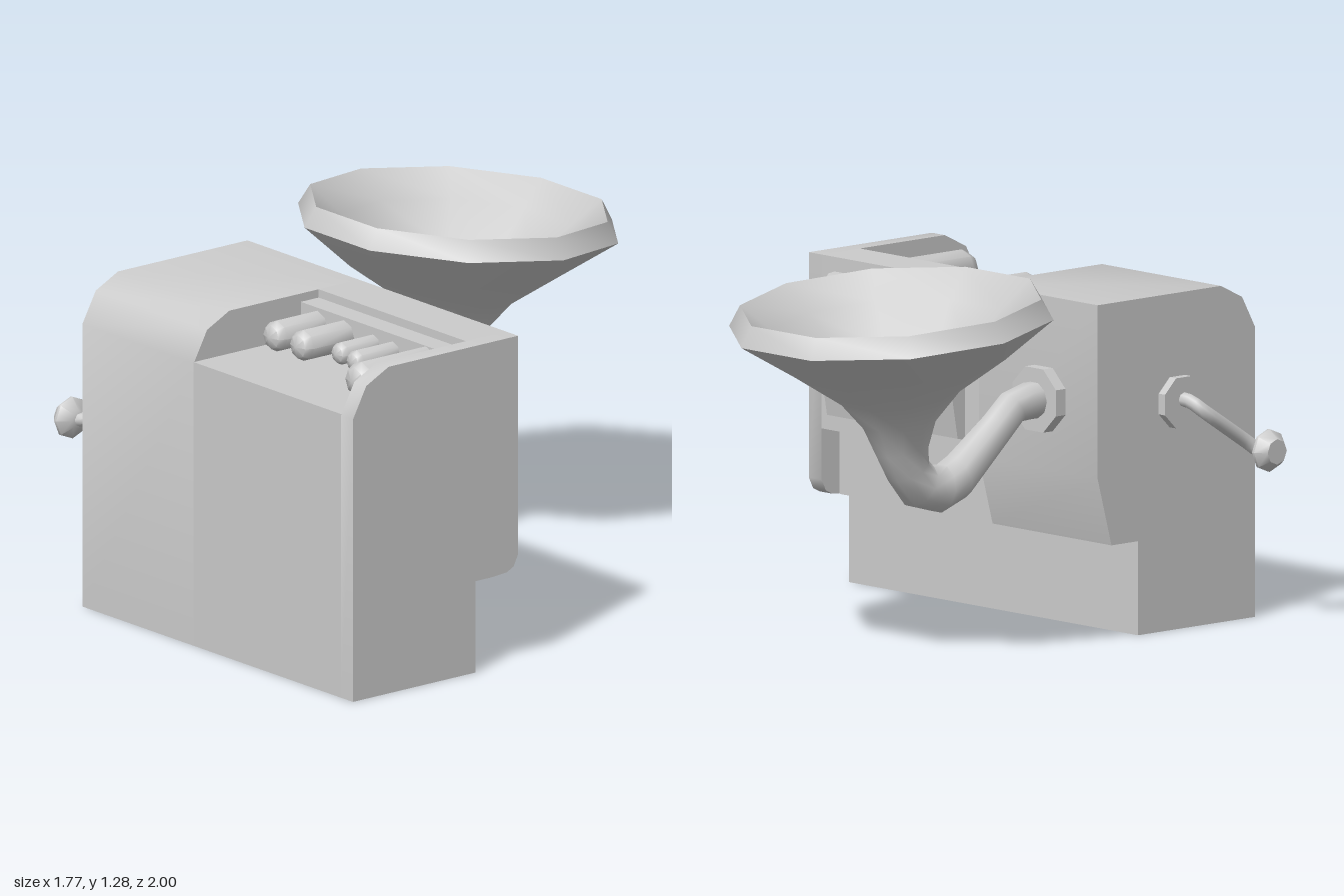
import * as THREE from 'three';
import { toCreasedNormals } from 'three/addons/utils/BufferGeometryUtils.js';

const grey = new THREE.MeshStandardMaterial({ color: 0xcccccc });

function add(parent, name, geometry, crease = 0.7) {
  const mesh = new THREE.Mesh(toCreasedNormals(geometry, crease), grey);
  mesh.name = name;
  parent.add(mesh);
  return mesh;
}

// Side profile of [z, y] points, extruded along x from x0 to x1
function slab(profile, x0, x1) {
  const shape = new THREE.Shape(profile.map(([z, y]) => new THREE.Vector2(-z, y)));
  return new THREE.ExtrudeGeometry(shape, { depth: x1 - x0, bevelEnabled: false })
    .rotateY(Math.PI / 2).translate(x0, 0, 0);
}

// Skin over tilted ten-sided rings; each ring is [z, y] of its inner-bend side, then of its outer-bend side
function ringLoft(rings, cx) {
  const n = 10, pos = [], index = [];
  rings.forEach(([az, ay, bz, by], i) => {
    const hz = (az - bz) / 2, hy = (ay - by) / 2, k = 1 / Math.cos(Math.PI / n);
    const r = Math.hypot(hz, hy) * k;
    for (let j = 0; j < n; j++) {
      const t = (j + 0.5) * 2 * Math.PI / n, c = Math.cos(t) * k;
      pos.push(cx + r * Math.sin(t), (ay + by) / 2 + hy * c, (az + bz) / 2 + hz * c);
      if (i === 0) continue;
      const a = (i - 1) * n + j, b = (i - 1) * n + (j + 1) % n;
      index.push(a, b, a + n, b, b + n, a + n);
    }
  });
  const g = new THREE.BufferGeometry();
  g.setAttribute('position', new THREE.Float32BufferAttribute(pos, 3));
  g.setIndex(index);
  return g;
}

export function createModel() {
  const model = new THREE.Group();
  model.name = 'hornOrgan';

  // Cabinet: solid side, middle with pipe recess and rear notch, thin end panel
  const cabinet = new THREE.Group();
  cabinet.name = 'cabinet';
  model.add(cabinet);
  const front = [[0.45, 0], [1, 0], [1, 1.02], [0.94, 1.13], [0.84, 1.18], [0.26, 1.18]];
  add(cabinet, 'cabinetMainSide', slab([...front, [0.26, 0.57], [0.325, 0.33], [0.45, 0.33]], -0.59, 0.015));
  add(cabinet, 'cabinetMiddle', slab([
    [0.45, 0], [1, 0], [1, 1.025], [0.52, 1.025], [0.52, 1.15], [0.44, 1.15], [0.44, 1.18],
    [0.26, 1.18], [0.26, 0.57], [0.345, 0.57], [0.345, 0.33], [0.45, 0.33],
  ], 0.015, 0.815));
  add(cabinet, 'cabinetEndPanel', slab([
    ...front, [0.26, 0.39], [0.28, 0.35], [0.31, 0.335], [0.38, 0.33], [0.45, 0.33],
  ], 0.815, 0.88));
  add(cabinet, 'rearCover', slab([
    [0.27, 0.62], [0.27, 1.13], [0.23, 1.125], [0.16, 1.0], [0.225, 0.63],
  ], 0.085, 0.75), 0.3);

  // Pipes lying in the recess: x, radius, front end z
  const pipes = new THREE.Group();
  pipes.name = 'pipes';
  model.add(pipes);
  for (const [x, r, end] of [[0.105, 0.056, 0.74], [0.25, 0.056, 0.74], [0.407, 0.041, 0.69],
    [0.514, 0.041, 0.71], [0.695, 0.066, 0.855]]) {
    const len = end - 0.5;
    const profile = [[r, 0], [r, len - r * 0.7], [r * 0.75, len - r * 0.22], [0, len]]
      .map(p => new THREE.Vector2(...p));
    add(pipes, 'pipe', new THREE.LatheGeometry(profile, 8).rotateX(Math.PI / 2).translate(x, 1.083, 0.5), 0.85);
  }

  // Horn: curved neck, flaring bell, rim, then the inside of the bell
  const horn = new THREE.Group();
  horn.name = 'horn';
  model.add(horn);
  add(horn, 'hornBell', ringLoft([
    [0.24, 0.88, 0.24, 0.757], [0.18, 0.88, 0.18, 0.757], [0.08, 0.855, 0.14, 0.755],
    [0, 0.788, 0.08, 0.7], [-0.17, 0.665, -0.13, 0.52], [-0.22, 0.64, -0.245, 0.48],
    [-0.28, 0.645, -0.37, 0.515], [-0.315, 0.68, -0.45, 0.61], [-0.32, 0.74, -0.5, 0.7],
    [-0.3, 0.83, -0.55, 0.8], [-0.22, 0.94, -0.63, 0.89], [-0.07, 1.06, -0.8, 1.0],
    [0.085, 1.215, -1, 1.12], [0.043, 1.285, -0.965, 1.195],
    [-0.06, 1.185, -0.86, 1.115], [-0.17, 1.04, -0.7, 0.99], [-0.27, 0.92, -0.58, 0.88],
    [-0.325, 0.82, -0.51, 0.79], [-0.345, 0.73, -0.47, 0.69], [-0.39, 0.68, -0.39, 0.68],
  ], -0.315), 0.8);
  add(horn, 'hornFlange', new THREE.CylinderGeometry(0.12, 0.12, 0.055, 8)
    .rotateY(Math.PI / 8).rotateX(Math.PI / 2).translate(-0.315, 0.82, 0.2425));

  // Hand crank
  const crank = new THREE.Group();
  crank.name = 'crank';
  model.add(crank);
  add(crank, 'crankFlange', new THREE.CylinderGeometry(0.095, 0.095, 0.045, 8)
    .rotateY(Math.PI / 8).rotateZ(Math.PI / 2).translate(-0.6, 0.8, 0.635));
  const path = new THREE.CatmullRomCurve3([
    [-0.59, 0.81, 0.635], [-0.65, 0.805, 0.642], [-0.69, 0.775, 0.665], [-0.71, 0.645, 0.855],
    [-0.725, 0.62, 0.885], [-0.77, 0.62, 0.895],
  ].map(p => new THREE.Vector3(...p)));
  add(crank, 'crankArm', new THREE.TubeGeometry(path, 16, 0.026, 8), 0.9);
  const knob = [[0, 0], [0.032, 0], [0.075, 0.035], [0.075, 0.045], [0.045, 0.083], [0, 0.083]]
    .map(p => new THREE.Vector2(...p));
  add(crank, 'crankKnob', new THREE.LatheGeometry(knob, 8)
    .rotateZ(Math.PI / 2).translate(-0.735, 0.62, 0.895), 0.85);

  return model;
}
